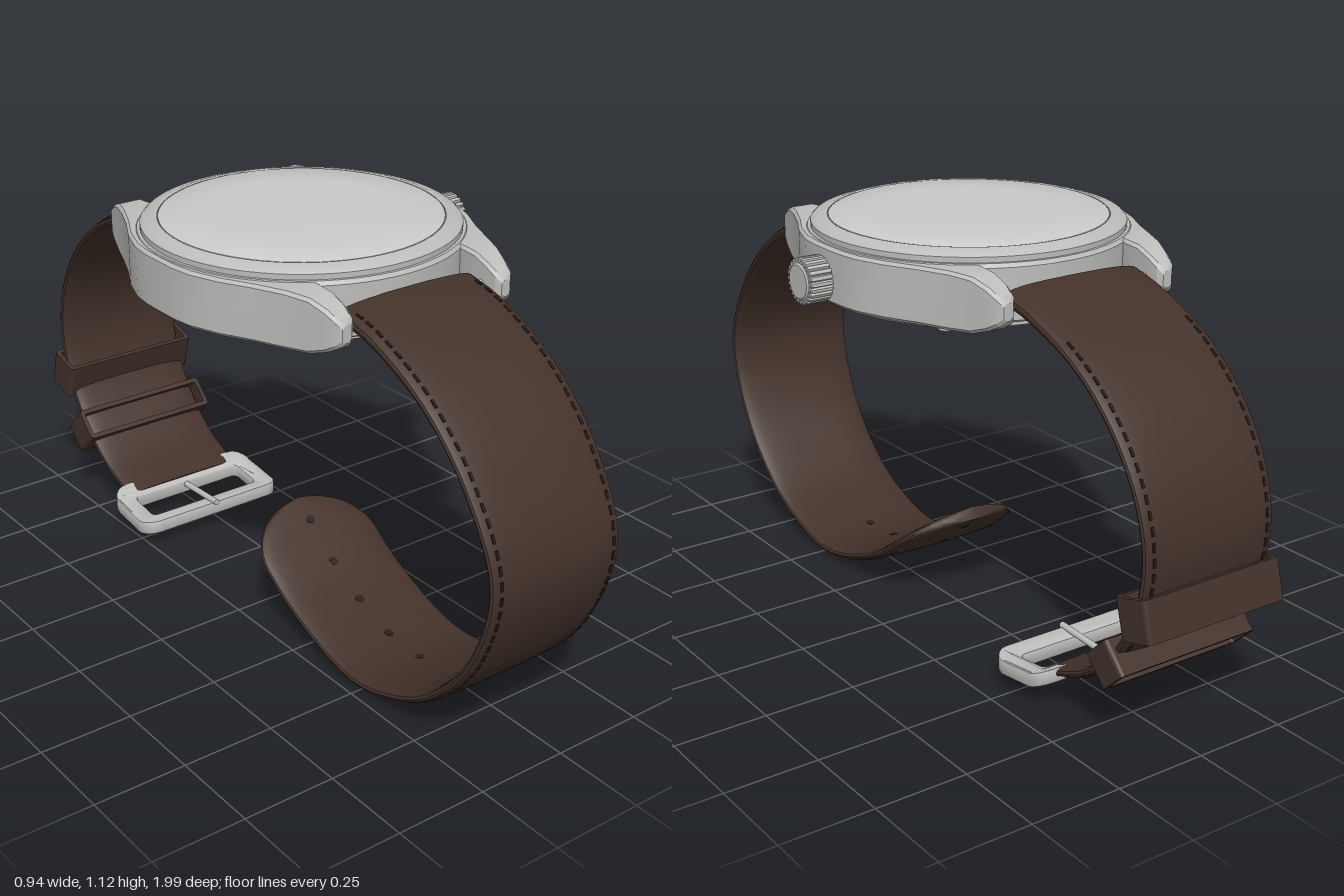
import * as THREE from 'three';
import { mergeGeometries, toCreasedNormals } from 'three/addons/utils/BufferGeometryUtils.js';

const CX = -0.04, CZ = 0.01; // centre of the watch case

const mat = (name, color) => Object.assign(new THREE.MeshStandardMaterial({ color }), { name });

// Closed skin through a list of rings, with fan caps; always wound outward
function loft(rings, crease = 0.6) {
  const n = rings[0].length, pos = [], idx = [];
  rings.forEach(r => r.forEach(p => pos.push(p.x, p.y, p.z)));
  for (let i = 0; i < rings.length - 1; i++)
    for (let j = 0; j < n; j++) {
      const a = i * n + j, b = i * n + (j + 1) % n;
      idx.push(a, b, b + n, a, b + n, a + n);
    }
  [0, rings.length - 1].forEach((row, end) => {
    const c = rings[row].reduce((s, p) => s.add(p), new THREE.Vector3()).divideScalar(n);
    const k = pos.length / 3;
    pos.push(c.x, c.y, c.z);
    for (let j = 0; j < n; j++) {
      const a = row * n + j, b = row * n + (j + 1) % n;
      if (end) idx.push(k, a, b); else idx.push(k, b, a);
    }
  });
  const v = i => new THREE.Vector3().fromArray(pos, i * 3);
  let volume = 0;
  for (let i = 0; i < idx.length; i += 3) volume += v(idx[i]).dot(v(idx[i + 1]).cross(v(idx[i + 2])));
  if (volume < 0) idx.reverse();
  const g = new THREE.BufferGeometry();
  g.setAttribute('position', new THREE.Float32BufferAttribute(pos, 3));
  g.setIndex(idx);
  return toCreasedNormals(g, crease);
}

const lathe = pts => toCreasedNormals(
  new THREE.LatheGeometry(pts.map(p => new THREE.Vector2(...p)), 72).translate(CX, 0, CZ), 0.5);

function roundRect(w, h, r, Type = THREE.Shape) {
  const s = new Type(), x = w / 2, y = h / 2;
  s.absarc(x - r, y - r, r, 0, Math.PI / 2);
  s.absarc(-x + r, y - r, r, Math.PI / 2, Math.PI);
  s.absarc(-x + r, -y + r, r, Math.PI, Math.PI * 1.5);
  s.absarc(x - r, -y + r, r, Math.PI * 1.5, Math.PI * 2);
  s.closePath();
  return s;
}

// A strap follows a [z, y] path; half and thick give half sizes along it
function makeStrap(points, half, thick) {
  const curve = new THREE.CatmullRomCurve3(points.map(([z, y]) => new THREE.Vector3(CX, y, z)));
  const frame = u => {
    const t = curve.getTangentAt(u);
    return { p: curve.getPointAt(u), n: new THREE.Vector3(0, t.z, -t.y), a: Math.atan2(-t.y, t.z) };
  };
  const rings = [];
  for (let i = 0; i <= 90; i++) {
    const u = 1 - Math.pow(1 - i / 90, 1.6), f = frame(u), ring = [];
    for (let j = 0; j < 28; j++) {
      const q = j / 28 * Math.PI * 2, c = Math.cos(q), s = Math.sin(q);
      const x = Math.sign(c) * Math.pow(Math.abs(c), 2 / 3) * half(u);
      const h = Math.sign(s) * Math.pow(Math.abs(s), 2 / 3) * thick(u);
      ring.push(f.p.clone().addScaledVector(f.n, h).add(new THREE.Vector3(x, 0, 0)));
    }
    rings.push(ring);
  }
  // Dashed seams along both edges of the outer face
  const length = curve.getLength(), dashes = [];
  for (let d = 0.05; d < length - 0.2; d += 0.036) {
    const u = d / length, f = frame(u);
    for (const s of [-0.88, 0.88]) {
      const p = f.p.clone().addScaledVector(f.n, thick(u) * 0.68);
      dashes.push(new THREE.BoxGeometry(0.007, 0.006, 0.022).rotateX(f.a).translate(p.x + s * half(u), p.y, p.z));
    }
  }
  return { geometry: loft(rings), seams: mergeGeometries(dashes), frame, length };
}

export function createModel() {
  const model = new THREE.Group();
  model.name = 'wristwatch';
  const steel = mat('steel', 0xbdbdbb), glass = mat('glass', 0xcacaca);
  const leather = mat('leather', 0x43322a), dark = mat('darkLeather', 0x2a1e18);
  const shade = mat('darkSteel', 0x6a6a6a);
  const add = (name, geometry, material, parent = model) => {
    const m = new THREE.Mesh(geometry, material);
    m.name = name;
    parent.add(m);
    return m;
  };

  // Case, bezel, domed crystal and back
  add('caseBody', lathe([[0, 0.93], [0.415, 0.93], [0.425, 0.937], [0.425, 1.07], [0.418, 1.08], [0, 1.08]]), steel);
  add('bezel', lathe([[0.41, 1.075], [0.41, 1.094], [0.402, 1.101], [0.372, 1.109], [0.366, 1.107], [0.366, 1.09]]), steel);
  add('crystal', lathe([[0.364, 1.095], [0.364, 1.107], [0.36, 1.109], [0.25, 1.114], [0.12, 1.1165], [0, 1.117]]), glass);
  add('caseBack', lathe([[0, 0.892], [0.262, 0.892], [0.264, 0.897], [0.268, 0.897], [0.27, 0.892],
    [0.31, 0.893], [0.37, 0.904], [0.39, 0.914], [0.39, 0.932]]), steel);
  for (let i = 0; i < 4; i++) {
    const a = Math.PI / 4 + i * Math.PI / 2, x = CX + 0.335 * Math.cos(a), z = CZ + 0.335 * Math.sin(a);
    add('backScrew', new THREE.CylinderGeometry(0.018, 0.018, 0.016, 20).translate(x, 0.898, z), steel);
    add('backScrewSocket', new THREE.CylinderGeometry(0.009, 0.009, 0.004, 6).translate(x, 0.8895, z), shade);
  }

  // Lugs: z, inner x, outer x, half height
  const sections = [[0, 0.3, 0.43, 0.073], [0.06, 0.3, 0.429, 0.073], [0.12, 0.3, 0.421, 0.073], [0.2, 0.28, 0.392, 0.073],
    [0.28, 0.25, 0.35, 0.073], [0.36, 0.215, 0.315, 0.073], [0.42, 0.215, 0.293, 0.069], [0.465, 0.215, 0.279, 0.053],
    [0.492, 0.219, 0.27, 0.037], [0.505, 0.23, 0.257, 0.022]];
  for (const sx of [1, -1]) for (const sz of [1, -1]) {
    const rings = sections.map(([z, a, b, h]) => {
      const c = 0.008, y = 1.0 + h * 0.06;
      return [[a + c, -h], [b - c, -h], [b, c - h], [b, h - c], [b - c, h], [a + c, h], [a, h - c], [a, c - h]]
        .map(([x, v]) => new THREE.Vector3(CX + sx * x, y + v, CZ + sz * z));
    });
    add(sx > 0 ? 'leftLug' : 'rightLug', loft(rings, 0.5), steel);
  }
  for (const z of [0.455, -0.44])
    add('springBar', new THREE.CylinderGeometry(0.012, 0.012, 0.45, 16).rotateZ(Math.PI / 2).translate(CX, 1.0, z), steel);

  // Fluted crown on its stem
  const gear = new THREE.Shape();
  for (let i = 0; i < 96; i++) {
    const a = i / 96 * Math.PI * 2, r = i % 4 < 2 ? 0.056 : 0.05;
    gear[i ? 'lineTo' : 'moveTo'](r * Math.cos(a), r * Math.sin(a));
  }
  add('crown', new THREE.ExtrudeGeometry(gear, { depth: 0.05, bevelThickness: 0.008, bevelSize: 0.004, bevelSegments: 2 })
    .rotateY(Math.PI / 2).translate(0.412, 1.0, CZ), steel);
  add('crownCap', new THREE.CylinderGeometry(0.042, 0.05, 0.006, 32).rotateZ(-Math.PI / 2).translate(0.471, 1.0, CZ), steel);
  add('crownStem', new THREE.CylinderGeometry(0.026, 0.026, 0.06, 24).rotateZ(Math.PI / 2).translate(0.385, 1.0, CZ), steel);

  // Long strap with a rounded tip and holes
  const thickness = u => 0.018 + 0.011 * Math.max(0, 1 - u * 5);
  const tip = u => Math.sqrt(Math.max(0.002, 1 - Math.pow(Math.max(0, (u - 0.925) / 0.075), 2)));
  const long = makeStrap([[0.43, 1.01], [0.55, 0.983], [0.74, 0.885], [0.89, 0.73], [0.98, 0.53], [0.915, 0.3],
    [0.77, 0.13], [0.62, 0.05], [0.46, 0.02], [0.2, 0.105], [-0.02, 0.265]],
  u => (0.208 - 0.02 * Math.min(1, u * 1.3)) * tip(u), thickness);
  add('longStrap', long.geometry, leather);
  add('longStrapStitching', long.seams, dark);
  for (let i = 0; i < 5; i++) {
    const f = long.frame(1 - (0.07 + i * 0.135) / long.length);
    add('strapHole', new THREE.CylinderGeometry(0.012, 0.012, 0.038, 16).rotateX(f.a).translate(f.p.x, f.p.y, f.p.z), dark);
  }

  // Short strap, running from the buckle up to the case
  const short = makeStrap([[-0.6, 0.088], [-0.73, 0.145], [-0.83, 0.23], [-0.915, 0.37], [-0.943, 0.52], [-0.91, 0.66],
    [-0.82, 0.8], [-0.69, 0.91], [-0.52, 0.985], [-0.42, 1.01]],
  u => 0.188 + 0.02 * u, u => thickness(1 - u));
  add('shortStrap', short.geometry, leather);
  add('shortStrapStitching', short.seams, dark);

  // Keeper loops
  for (const [z, y, size, a] of [[-0.93, 0.375, 0.105, 1.3], [-0.835, 0.22, 0.095, 0.8]]) {
    const band = roundRect(0.422, size, 0.012);
    band.holes.push(roundRect(0.396, size - 0.028, 0.006, THREE.Path));
    add('keeperLoop', new THREE.ExtrudeGeometry(band, { depth: size, bevelEnabled: false })
      .translate(0, 0, -size / 2).rotateX(-a).translate(CX, y, z), leather);
  }

  // Bent buckle frame, its bar and pin
  const frame = roundRect(0.46, 0.2, 0.045);
  frame.holes.push(roundRect(0.37, 0.115, 0.02, THREE.Path));
  const buckle = new THREE.ExtrudeGeometry(frame, { depth: 0.03, bevelThickness: 0.005, bevelSize: 0.005, bevelSegments: 2 })
    .translate(0, 0, -0.015).rotateX(-Math.PI / 2).translate(CX, 0, -0.527);
  const p = buckle.attributes.position;
  for (let i = 0; i < p.count; i++) p.setY(i, p.getY(i) + 0.06 + 1.8 * Math.pow(p.getZ(i) + 0.49, 2));
  add('buckleFrame', toCreasedNormals(buckle, 0.6), steel);
  add('buckleBar', new THREE.CylinderGeometry(0.014, 0.014, 0.42, 16).rotateZ(Math.PI / 2).translate(CX, 0.088, -0.6), steel);
  add('bucklePin', new THREE.CylinderGeometry(0.009, 0.009, 0.2, 12).rotateX(Math.PI / 2 - 0.04).translate(CX, 0.085, -0.515), steel);
  return model;
}
